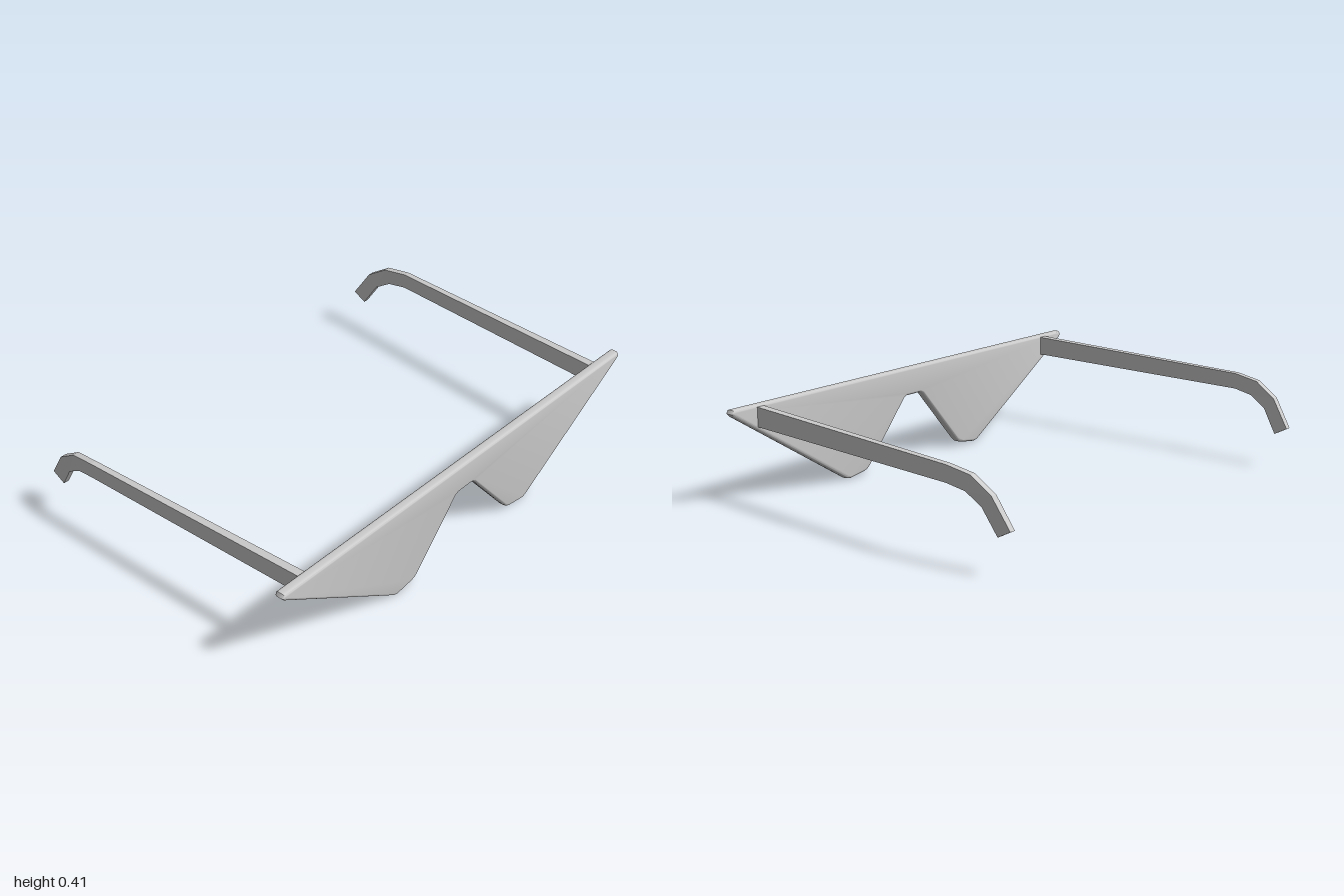
import * as THREE from 'three';
import { toCreasedNormals } from 'three/addons/utils/BufferGeometryUtils.js';

const material = new THREE.MeshStandardMaterial({ color: 0xcccccc });

// Front plate: mirrored outline, extruded with a rounded rim
function createFrontPlate() {
  const half = [
    [0.04, 0.29], [0.055, 0.283], [0.268, 0.034], [0.284, 0.02], [0.305, 0.013],
    [0.385, 0.001], [0.405, 0.006], [0.988, 0.381], [0.999, 0.394], [0.99, 0.409],
  ];
  const mirrored = half.map(([x, y]) => [-x, y]).reverse();
  const shape = new THREE.Shape([...half, ...mirrored].map(([x, y]) => new THREE.Vector2(x, y)));
  const bevel = 0.014;
  const geometry = new THREE.ExtrudeGeometry(shape, {
    depth: 0.043 - 2 * bevel,
    bevelThickness: bevel,
    bevelSize: 0.011,
    bevelOffset: -0.011,
    bevelSegments: 4,
  });
  geometry.translate(0, 0, 0.632 + bevel);
  const mesh = new THREE.Mesh(toCreasedNormals(geometry, 0.7), material);
  mesh.name = 'frontPlate';
  return mesh;
}

// Temple arm sections from hinge to ear tip: top [z, y], bottom [z, y], x centre, thickness
const sections = [
  { top: [0.634, 0.402], bottom: [0.634, 0.322], x: 0.861, width: 0.034 },
  { top: [-0.4, 0.373], bottom: [-0.4, 0.307], x: 0.914, width: 0.026 },
  { top: [-0.51, 0.355], bottom: [-0.485, 0.292], x: 0.909, width: 0.026 },
  { top: [-0.6, 0.295], bottom: [-0.555, 0.247], x: 0.903, width: 0.026 },
  { top: [-0.675, 0.178], bottom: [-0.617, 0.147], x: 0.892, width: 0.024 },
];

// Bend a segmented box through the sections
function createTemple(side, name) {
  const steps = sections.length - 1;
  const geometry = new THREE.BoxGeometry(1, 1, 1, 1, 1, steps).toNonIndexed();
  const p = geometry.attributes.position;
  for (let i = 0; i < p.count; i++) {
    const s = sections[Math.round((0.5 - p.getZ(i)) * steps)];
    const [z, y] = p.getY(i) > 0 ? s.top : s.bottom;
    p.setXYZ(i, side * s.x + p.getX(i) * s.width, y, z);
  }
  geometry.computeVertexNormals();
  const mesh = new THREE.Mesh(geometry, material);
  mesh.name = name;
  mesh.position.x = -0.004;
  return mesh;
}

export function createModel() {
  const group = new THREE.Group();
  group.name = 'glasses';
  group.add(createFrontPlate(), createTemple(1, 'leftTemple'), createTemple(-1, 'rightTemple'));
  return group;
}
